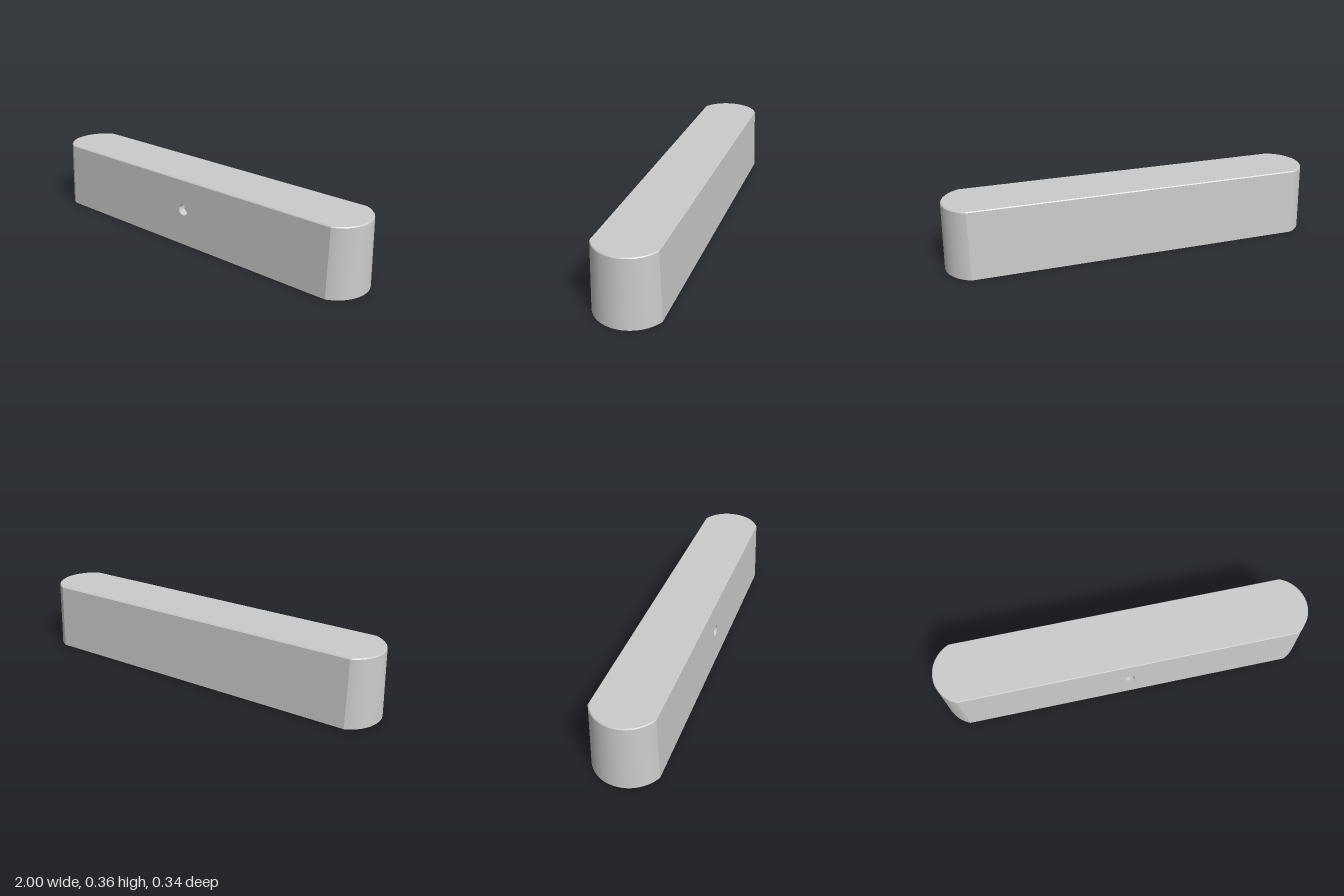
import * as THREE from 'three';
import { toCreasedNormals } from 'three/addons/utils/BufferGeometryUtils.js';

const HEIGHT = 0.36, SHOULDER = 0.355, DRAFT = 0.011, BEVEL = 0.004;
const HALF_WIDTH = 0.171, END_RADIUS = 0.186, END_X = 1 - END_RADIUS;
const HOLE_Y = 0.195, HOLE_R = 0.03, HOLE_FLOOR = 0.125;

// Plan outline at height y, inset by d: from the front right corner round the back to the front left
function outline(y, d) {
  const r = END_RADIUS - d, a = Math.asin((HALF_WIDTH - d) / r), n = 40, pts = [];
  for (const [cx, mid] of [[END_X, 0], [-END_X, Math.PI]]) {
    for (let i = 0; i <= n; i++) {
      const t = mid - a + (2 * a * i) / n;
      pts.push(new THREE.Vector3(cx + r * Math.cos(t), y, -r * Math.sin(t)));
    }
  }
  return pts;
}

// Skin between two matching rows of points
function loft(rowA, rowB, closed) {
  const n = rowA.length, pts = [];
  for (let i = 0; i < (closed ? n : n - 1); i++) {
    const j = (i + 1) % n;
    pts.push(rowA[i], rowA[j], rowB[j], rowA[i], rowB[j], rowB[i]);
  }
  return toCreasedNormals(new THREE.BufferGeometry().setFromPoints(pts), 0.2);
}

function cap(row, up) {
  const shape = new THREE.Shape(row.map(p => new THREE.Vector2(p.x, -p.z)));
  return new THREE.ShapeGeometry(shape).rotateX(up ? -Math.PI / 2 : Math.PI / 2).translate(0, row[0].y, 0);
}

const frontZ = y => HALF_WIDTH - (DRAFT * y) / SHOULDER;

export function createModel() {
  const group = new THREE.Group();
  const material = new THREE.MeshStandardMaterial({ color: 0xcccccc });
  const add = (name, geometry) => {
    const mesh = new THREE.Mesh(geometry, material);
    mesh.name = name;
    group.add(mesh);
  };

  const base = outline(0, 0);
  const shoulder = outline(SHOULDER, DRAFT);
  const rim = outline(HEIGHT, DRAFT + BEVEL);

  // Tapered back and rounded ends, bevelled top edge, top and bottom
  add('backAndEnds', loft(base, shoulder, false));
  add('topBevel', loft(shoulder, rim, true));
  add('top', cap(rim, true));
  add('bottom', cap(base, false));

  // Front wall with a round hole, leaned back to follow the taper
  const wall = new THREE.Shape([
    new THREE.Vector2(-base[0].x, 0), new THREE.Vector2(base[0].x, 0),
    new THREE.Vector2(shoulder[0].x, SHOULDER), new THREE.Vector2(-shoulder[0].x, SHOULDER),
  ]);
  const circle = [];
  for (let i = 0; i < 40; i++) {
    const t = (i / 40) * Math.PI * 2;
    circle.push(new THREE.Vector2(HOLE_R * Math.cos(t), HOLE_Y + HOLE_R * Math.sin(t)));
  }
  wall.holes.push(new THREE.Path(circle));
  const front = new THREE.ShapeGeometry(wall);
  const pos = front.attributes.position;
  for (let i = 0; i < pos.count; i++) pos.setZ(i, frontZ(pos.getY(i)));
  front.computeVertexNormals();
  add('frontWall', front);

  // Blind hole
  const mouth = circle.map(p => new THREE.Vector3(p.x, p.y, frontZ(p.y)));
  const end = circle.map(p => new THREE.Vector3(p.x, p.y, HOLE_FLOOR));
  add('holeWall', loft(mouth, end, true));
  add('holeFloor', new THREE.CircleGeometry(HOLE_R, 40).translate(0, HOLE_Y, HOLE_FLOOR));

  return group;
}
